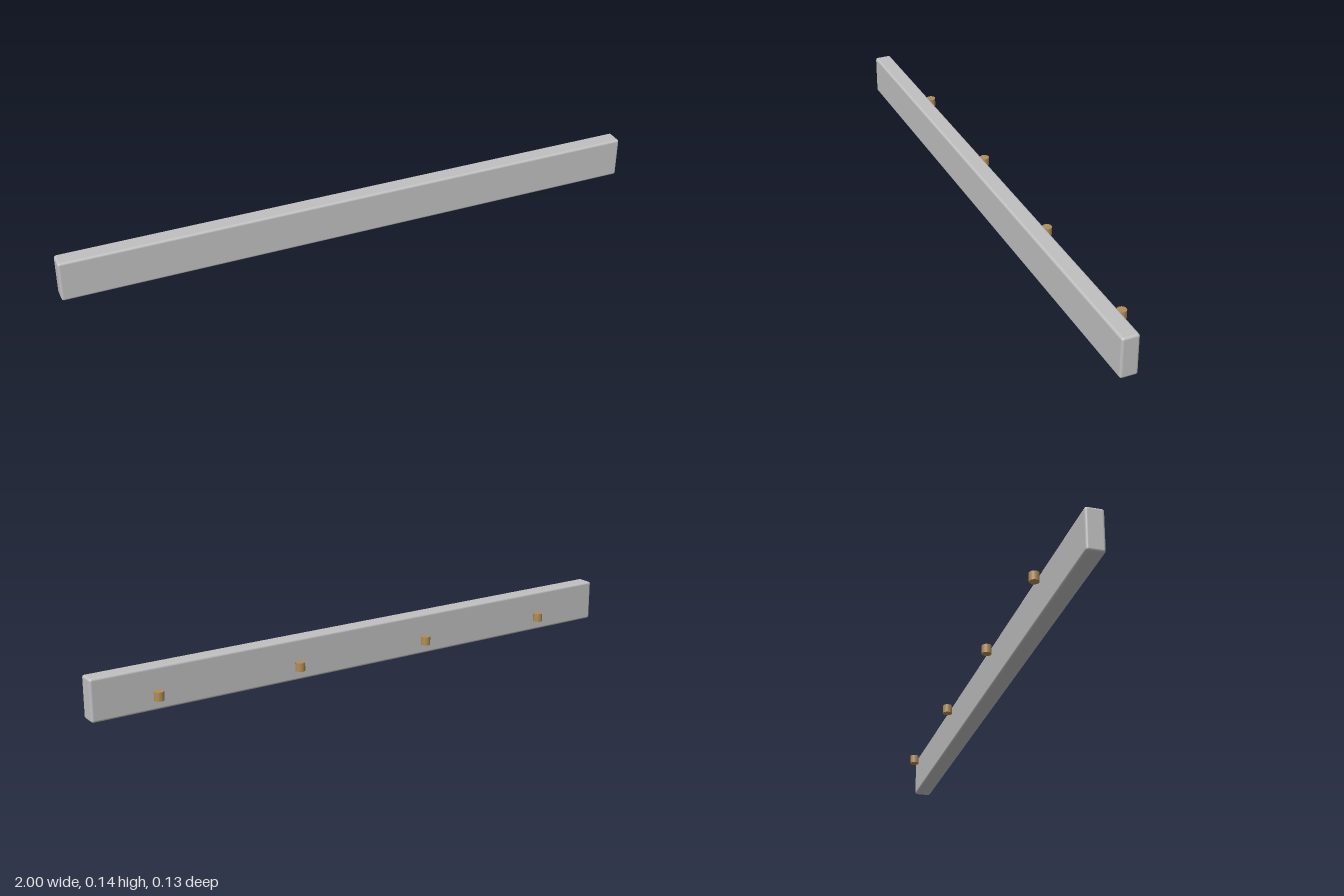
import * as THREE from 'three';
import { RoundedBoxGeometry } from 'three/addons/geometries/RoundedBoxGeometry.js';

export function createModel() {
  const model = new THREE.Group();
  model.name = 'railWithPegs';

  const greyMetal = new THREE.MeshStandardMaterial({ color: 0xc0c0c0 });
  greyMetal.name = 'grey metal';
  const brass = new THREE.MeshStandardMaterial({ color: 0xb08d57 });
  brass.name = 'brass';

  // Long bar with softly rounded edges
  const bar = new THREE.Mesh(new RoundedBoxGeometry(2, 0.14, 0.059, 4, 0.008), greyMetal);
  bar.name = 'bar';
  bar.position.set(0, 0.07, 0.0335);
  model.add(bar);

  // Row of upright pegs standing clear of the back face
  const pegGeometry = new THREE.CylinderGeometry(0.016, 0.016, 0.029, 24);
  [-0.7, -0.2, 0.3, 0.8].forEach((x, i) => {
    const peg = new THREE.Mesh(pegGeometry, brass);
    peg.name = `peg${i + 1}`;
    peg.position.set(x, 0.0655, -0.047);
    model.add(peg);
  });

  return model;
}
